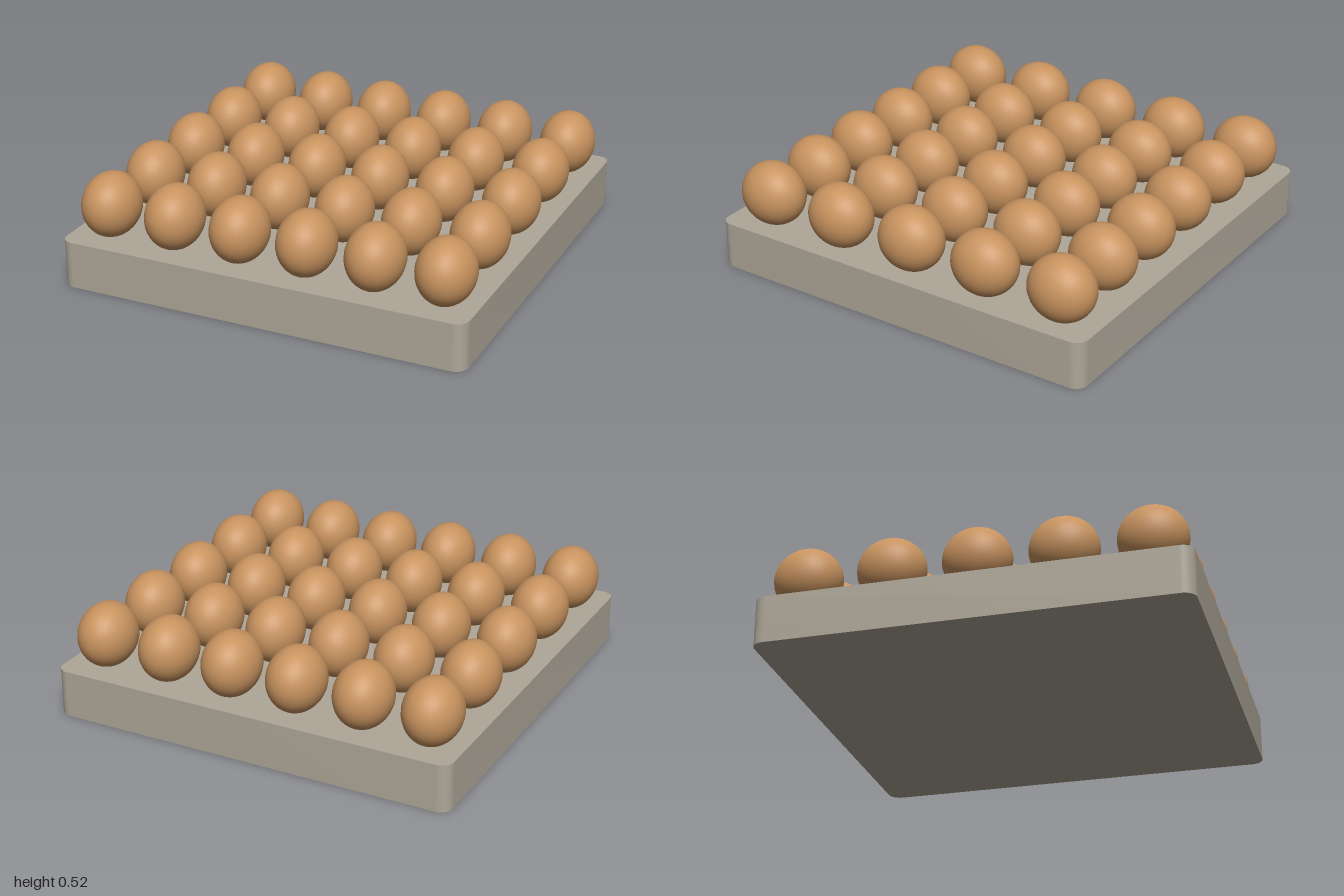
import * as THREE from 'three';
import { toCreasedNormals } from 'three/addons/utils/BufferGeometryUtils.js';

const TRAY_HEIGHT = 0.228;
const COLUMNS = 6, ROWS = 5;

// Square outline with rounded corners
function roundedSquare(half, r) {
  const s = new THREE.Shape();
  const c = half - r;
  s.absarc(c, c, r, 0, Math.PI / 2);
  s.absarc(-c, c, r, Math.PI / 2, Math.PI);
  s.absarc(-c, -c, r, Math.PI, Math.PI * 1.5);
  s.absarc(c, -c, r, Math.PI * 1.5, Math.PI * 2);
  s.closePath();
  return s;
}

export function createModel() {
  const group = new THREE.Group();
  group.name = 'eggTray';

  // Solid slab with rounded upright corners
  const trayGeometry = new THREE.ExtrudeGeometry(roundedSquare(1, 0.06), {
    depth: TRAY_HEIGHT, bevelEnabled: false, curveSegments: 8,
  });
  trayGeometry.rotateX(-Math.PI / 2);
  const tray = new THREE.Mesh(
    toCreasedNormals(trayGeometry, Math.PI / 6),
    new THREE.MeshStandardMaterial({ color: 0xaea698 }),
  );
  tray.name = 'tray';
  group.add(tray);

  // Eggs lying lengthwise along z, sunk slightly into the tray
  const eggGeometry = new THREE.SphereGeometry(1, 32, 24).scale(0.135, 0.155, 0.162);
  const eggMaterial = new THREE.MeshStandardMaterial({ color: 0xc8935f });
  const eggs = new THREE.Group();
  eggs.name = 'eggs';
  for (let row = 0; row < ROWS; row++) {
    for (let col = 0; col < COLUMNS; col++) {
      const egg = new THREE.Mesh(eggGeometry, eggMaterial);
      egg.name = `egg${row + 1}_${col + 1}`;
      egg.position.set(
        (col - (COLUMNS - 1) / 2) * (2 / COLUMNS),
        0.365,
        (row - (ROWS - 1) / 2) * (2 / ROWS),
      );
      eggs.add(egg);
    }
  }
  group.add(eggs);
  return group;
}
